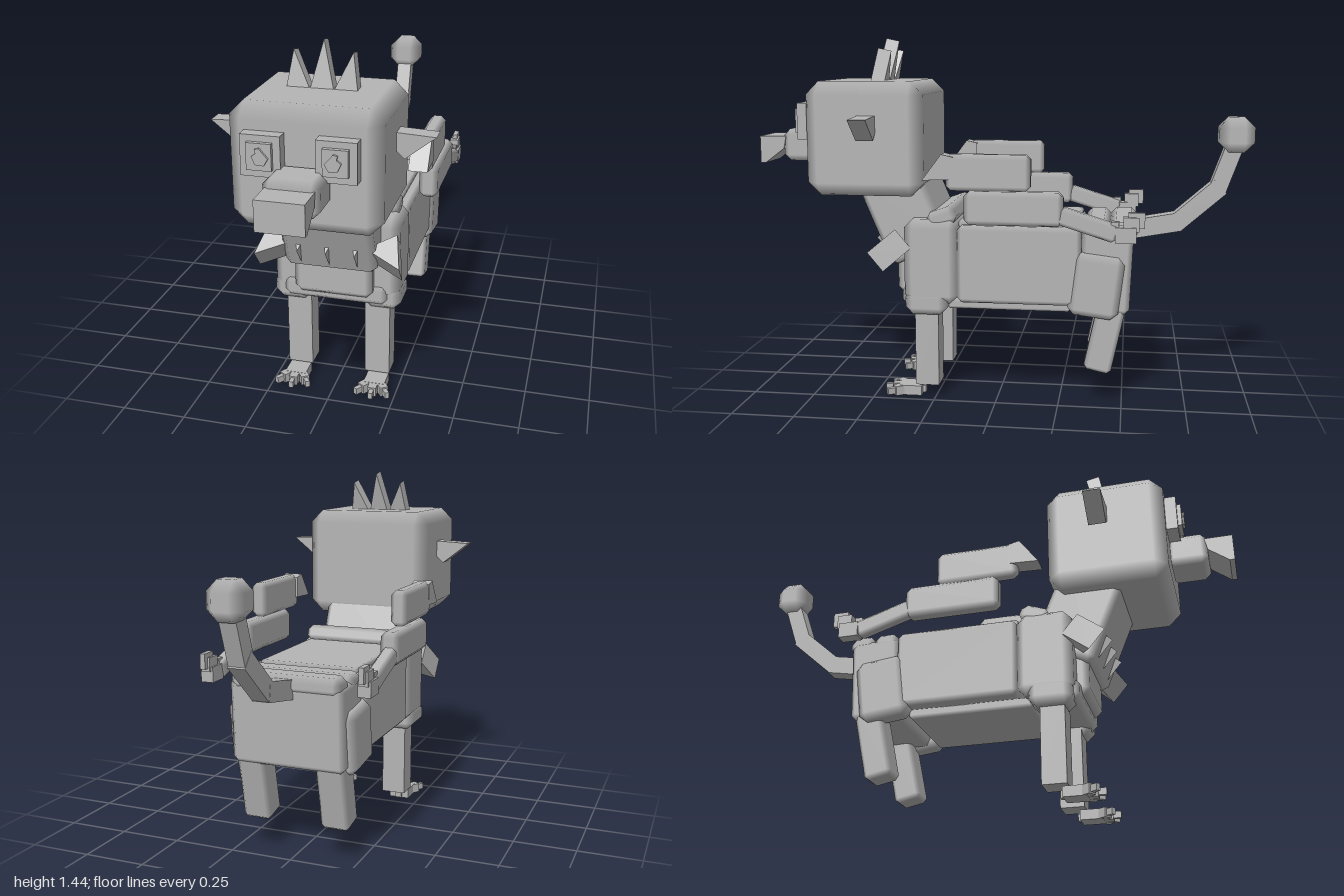
import * as THREE from 'three';
import { ConvexGeometry } from 'three/addons/geometries/ConvexGeometry.js';

const stone = new THREE.MeshStandardMaterial({ color: 0xb4b4b4 });
stone.name = 'stone grey';

// Box with one flat bevel; normals stay flat on the six faces and blend across the bevels
function chamferBox(w, h, d, b) {
  const half = [w / 2, h / 2, d / 2];
  const points = [];
  for (let axis = 0; axis < 3; axis++)
    for (const sx of [-1, 1]) for (const sy of [-1, 1]) for (const sz of [-1, 1]) {
      const p = [sx, sy, sz].map((s, i) => s * (half[i] - (i === axis ? 0 : b)));
      points.push(new THREE.Vector3(...p));
    }
  const geo = new ConvexGeometry(points);
  const pos = geo.attributes.position, nor = geo.attributes.normal;
  for (let i = 0; i < pos.count; i++) {
    const p = [pos.getX(i), pos.getY(i), pos.getZ(i)];
    const n = p.map((v, k) => (Math.abs(Math.abs(v) - half[k]) < 1e-5 ? Math.sign(v) : 0));
    nor.setXYZ(i, ...n);
  }
  return geo;
}

// Flat outline in x/y with a thickness centred on z
function prism(points, depth) {
  const shape = new THREE.Shape(points.map(([x, y]) => new THREE.Vector2(x, y)));
  return new THREE.ExtrudeGeometry(shape, { depth, bevelEnabled: false }).translate(0, 0, -depth / 2);
}

// Outline given as [z, y] pairs, with a width centred on x
const sideProfile = (points, width) => prism(points.map(([z, y]) => [-z, y]), width).rotateY(Math.PI / 2);

export function createModel() {
  const root = new THREE.Group();
  root.name = 'animal';

  const add = (name, geo, x = 0, y = 0, z = 0, rx = 0, ry = 0) => {
    const mesh = new THREE.Mesh(geo, stone);
    mesh.name = name;
    mesh.position.set(x, y, z);
    mesh.rotation.set(rx, ry, 0);
    root.add(mesh);
    return mesh;
  };
  // Box by its size and centre, bevelled when b > 0
  const box = (name, [w, h, d], [x, y, z], b = 0, rx = 0, ry = 0) =>
    add(name, b ? chamferBox(w, h, d, b) : new THREE.BoxGeometry(w, h, d), x, y, z, rx, ry);
  // Square bar between two [y, z] points
  const bar = (name, x, [y0, z0], [y1, z1], w, t, b = 0) =>
    box(name, [w, Math.hypot(y1 - y0, z1 - z0), t], [x, (y0 + y1) / 2, (z0 + z1) / 2], b,
      Math.atan2(z1 - z0, y1 - y0));

  // Head, snout and neck
  box('head', [0.54, 0.45, 0.47], [0, 1.055, 0.52], 0.052);
  box('snout', [0.195, 0.13, 0.16], [0, 1.015, 0.82], 0.025);
  add('nose', sideProfile([[0.89, 1.05], [1, 1.05], [1, 0.94], [0.98, 0.94], [0.9, 1.0]], 0.17));
  box('neck', [0.36, 0.4, 0.26], [0, 0.77, 0.39], 0.025, 0.4);

  // Crown of three spikes, leaning back
  for (const [x, lean, h] of [[-0.085, -0.022, 0.14], [0, 0, 0.18], [0.085, 0.022, 0.14]])
    add('crownSpike', prism([[-0.044, 0], [0.044, 0], [lean, h]], 0.055), x, 1.265, 0.49, -0.21);

  // Torso blocks
  box('chest', [0.5, 0.34, 0.22], [0, 0.57, 0.26], 0.035);
  box('chestPlate', [0.31, 0.22, 0.1], [0, 0.53, 0.365], 0.025);
  box('chestBase', [0.42, 0.09, 0.15], [0, 0.425, 0.31], 0.025);
  box('barrel', [0.49, 0.31, 0.49], [0, 0.565, -0.09], 0.018);
  box('backPanel', [0.41, 0.03, 0.48], [0, 0.722, -0.085], 0.01);
  box('bellyPlate', [0.38, 0.04, 0.5], [0, 0.392, -0.045], 0.012);
  box('rump', [0.46, 0.33, 0.2], [0, 0.545, -0.43], 0.02, -0.04);
  box('frontRoll', [0.45, 0.07, 0.12], [0, 0.745, 0.22], 0.022, 0.35);
  box('middleRoll', [0.46, 0.06, 0.1], [0, 0.705, -0.39], 0.022);
  box('rearRoll', [0.44, 0.07, 0.11], [0, 0.705, -0.495], 0.025);

  // Collar of downward spikes
  for (const x of [-0.11, 0, 0.11])
    add('collarSpike', prism([[-0.035, 0.07], [0.035, 0.07], [0, -0.05]], 0.09), x, 0.64, 0.44, -0.87);

  // Tail
  bar('tailBase', 0, [0.68, -0.5], [0.72, -0.72], 0.068, 0.075);
  bar('tailMiddle', 0, [0.71, -0.7], [0.865, -0.875], 0.066, 0.072);
  bar('tailEnd', 0, [0.845, -0.86], [1.03, -0.925], 0.064, 0.068);
  box('tailBall', [0.14, 0.14, 0.14], [0, 1.07, -0.93], 0.04);

  for (const s of [1, -1]) {
    const mirrored = (points) => points.map(([x, y]) => [s * x, y]);

    // Eyes
    box('eyeFrame', [0.14, 0.145, 0.05], [s * 0.13, 1.12, 0.775]);
    box('eyePlate', [0.088, 0.095, 0.02], [s * 0.13, 1.122, 0.806]);
    add('pupil', prism(mirrored([[-0.03, -0.005], [-0.015, -0.03], [0.015, -0.028], [0.028, 0],
      [0.012, 0.012], [0.016, 0.026], [0, 0.03], [-0.008, 0.02]]), 0.009), s * 0.125, 1.125, 0.82);

    // Ears and side collar flaps
    add('ear', prism(mirrored([[0.25, 0.05], [0.41, 0.042], [0.3, -0.045], [0.25, 0]]), 0.07),
      0, 1.1, 0.5).rotation.y = 0;
    add('collarFlap', prism(mirrored([[0.25, 0.07], [0.14, 0], [0.28, -0.07]]), 0.097), 0, 0.62, 0.42, -0.87);

    // Front legs
    box('shoulder', [0.15, 0.1, 0.17], [s * 0.18, 0.405, 0.28], 0.03);
    box('frontLeg', [0.1, 0.33, 0.095], [s * 0.16, 0.22, 0.283]);

    // Front feet with splayed, clawed toes
    box('footPad', [0.085, 0.04, 0.09], [s * 0.163, 0.026, 0.355]);
    box('heelClaw', [0.025, 0.028, 0.03], [s * 0.163, 0.024, 0.312]);
    for (const a of [-0.6, 0, 0.6]) {
      const toe = (r) => [s * 0.163 + Math.sin(a) * r, 0.026, 0.35 + Math.cos(a) * r];
      box('toe', [0.034, 0.038, 0.08], toe(0.045), 0, 0, a);
      box('toeClaw', [0.018, 0.026, 0.04], toe(0.095), 0, 0, a);
    }

    // Hind legs
    box('thigh', [0.11, 0.25, 0.2], [s * 0.205, 0.492, -0.393], 0.028, -0.12);
    bar('hindLeg', s * 0.163, [0.14, -0.4], [0.44, -0.463], 0.115, 0.11, 0.016);

    // Folded wings, a chain of blocks from front tip to feathered end
    add('wingTip', sideProfile([[0.27, 0.91], [0.195, 1.01], [0.15, 1.0], [0.15, 0.915]], 0.075),
      s * 0.296, 0, 0);
    box('wingUpper', [0.065, 0.14, 0.325], [s * 0.3, 0.94, 0.018], 0.018);
    box('wingLower', [0.075, 0.13, 0.38], [s * 0.307, 0.805, -0.08], 0.02);
    bar('wingRear', s * 0.31, [0.785, -0.25], [0.715, -0.475], 0.058, 0.07, 0.015);
    box('featherBase', [0.05, 0.06, 0.08], [s * 0.315, 0.715, -0.505]);
    box('featherMiddle', [0.036, 0.055, 0.06], [s * 0.315, 0.755, -0.525]);
    box('featherEnd', [0.02, 0.06, 0.062], [s * 0.315, 0.77, -0.545]);
    box('featherBarb', [0.03, 0.03, 0.03], [s * 0.315, 0.75, -0.465]);
  }
  return root;
}
